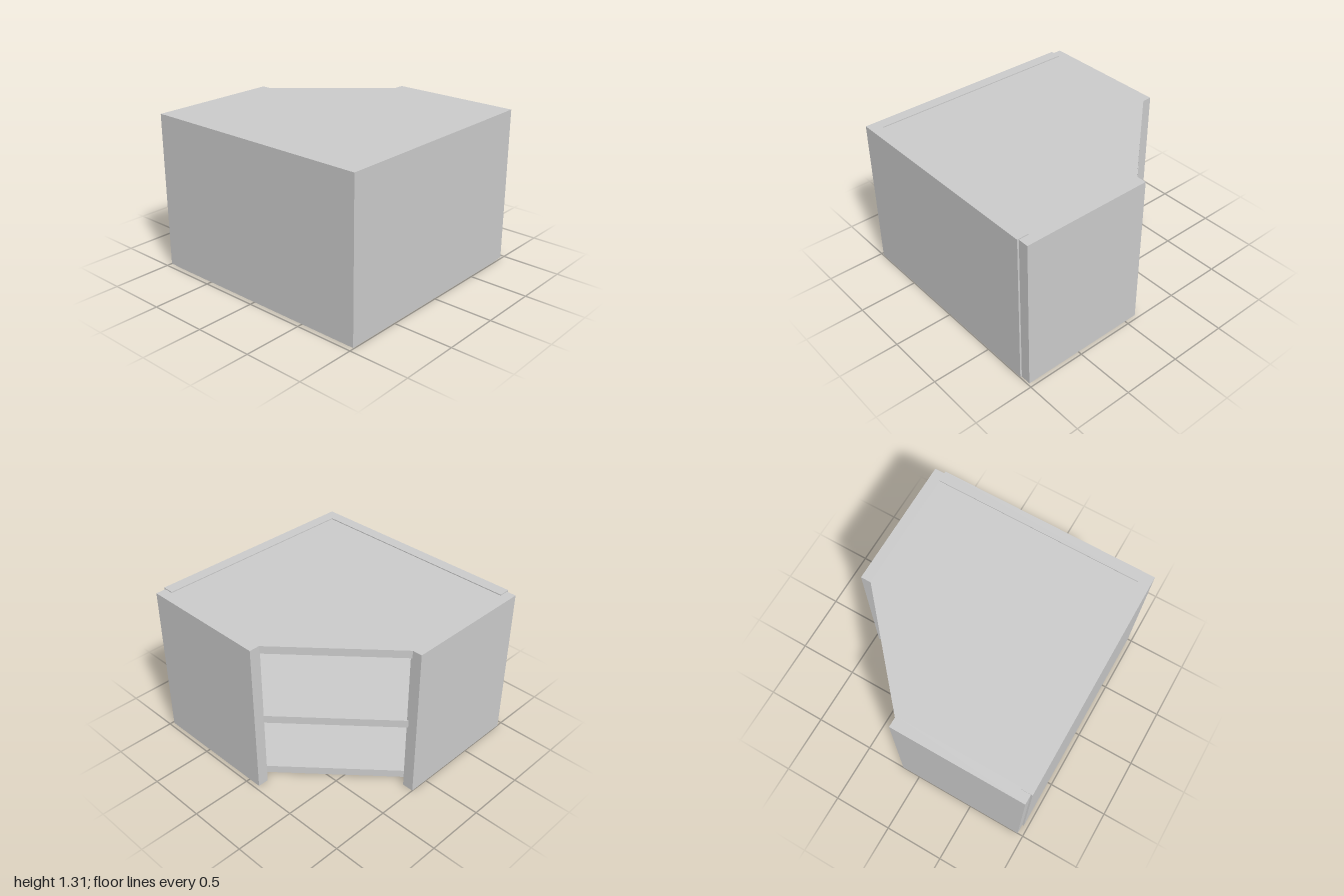
import * as THREE from 'three';

const material = new THREE.MeshStandardMaterial({ color: 0xcccccc, flatShading: true });

// Upright panel given by its extents on each axis
function panel(name, [x0, x1], [y0, y1], [z0, z1]) {
  const mesh = new THREE.Mesh(new THREE.BoxGeometry(x1 - x0, y1 - y0, z1 - z0), material);
  mesh.position.set((x0 + x1) / 2, (y0 + y1) / 2, (z0 + z1) / 2);
  mesh.name = name;
  return mesh;
}

// Five-sided board with one corner cut off; recess moves the cut edge inwards along z
function board(name, bottom, thickness, recess = 0) {
  const slope = 0.72 / 0.81;
  const outline = [
    [-0.92, -0.16 + recess],
    [-0.11 + recess / slope, -0.88],
    [0.91, -0.88],
    [0.91, 0.875],
    [-0.92, 0.875],
  ];
  // Shape y becomes -z once the extrusion is laid flat
  const shape = new THREE.Shape(outline.map(([x, z]) => new THREE.Vector2(x, -z)));
  const geometry = new THREE.ExtrudeGeometry(shape, { depth: thickness, bevelEnabled: false });
  geometry.rotateX(-Math.PI / 2);
  const mesh = new THREE.Mesh(geometry, material);
  mesh.position.y = bottom;
  mesh.name = name;
  return mesh;
}

export function createModel() {
  const cabinet = new THREE.Group();
  cabinet.name = 'cornerCabinet';

  // Two long walls, meeting at the front left corner
  cabinet.add(panel('frontWall', [-0.92, 1], [0.008, 1.305], [0.87, 0.966]));
  cabinet.add(panel('leftWall', [0.905, 1], [0.008, 1.305], [-0.88, 0.966]));

  // Two short panels on either side of the diagonal opening
  cabinet.add(panel('rightSidePanel', [-1, -0.905], [0, 1.297], [-0.16, 0.952]));
  cabinet.add(panel('backSidePanel', [-0.11, 0.985], [0, 1.297], [-0.966, -0.875]));

  // Top, middle shelf and set-back bottom
  const thickness = 0.065;
  cabinet.add(board('topBoard', 1.297 - thickness, thickness));
  cabinet.add(board('middleShelf', 0.595, thickness));
  cabinet.add(board('bottomBoard', 0.008, thickness, 0.12));

  return cabinet;
}
